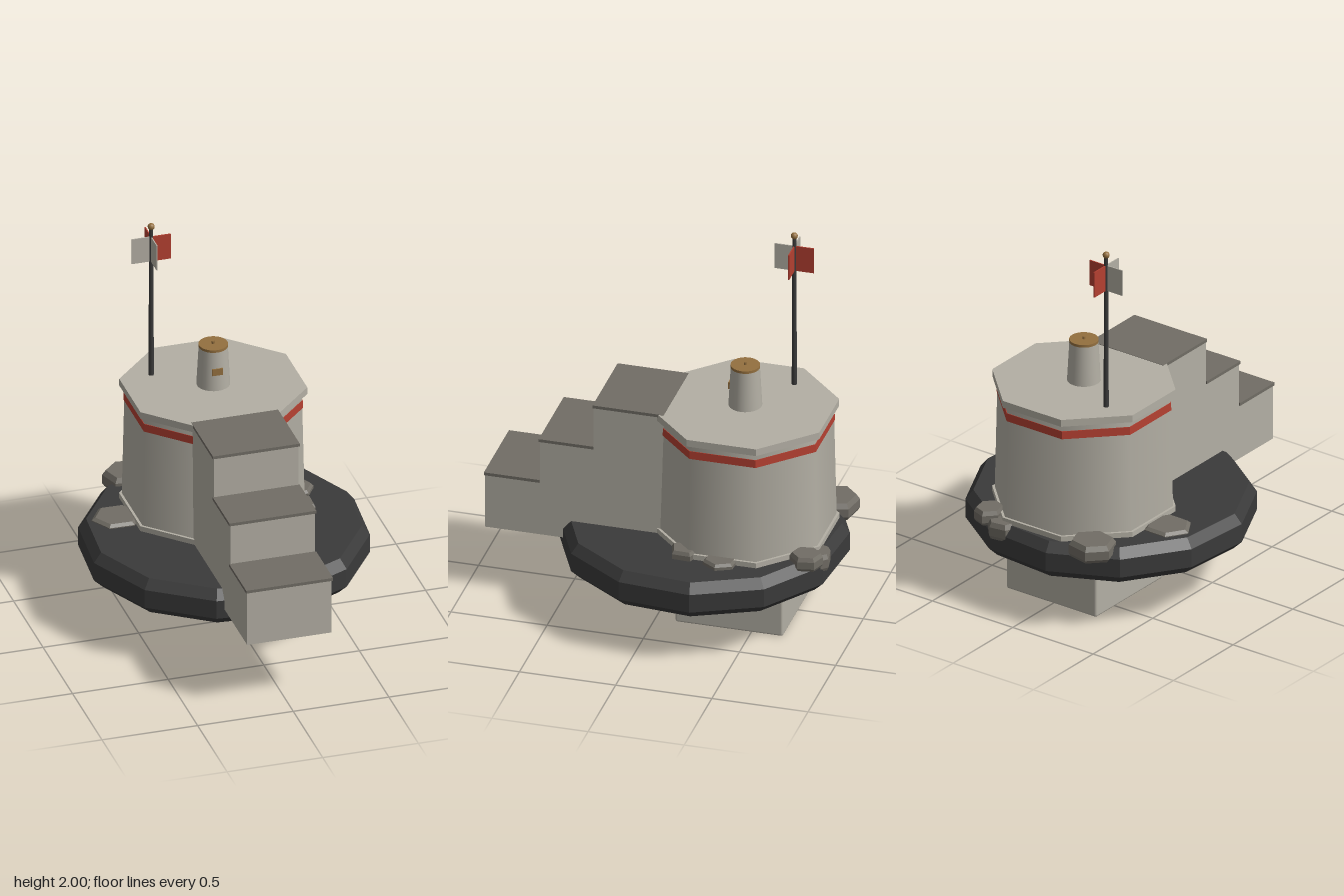
import * as THREE from 'three';
import { RoundedBoxGeometry } from 'three/addons/geometries/RoundedBoxGeometry.js';

export function createModel() {
  const model = new THREE.Group();
  const paint = (name, color) => {
    const m = new THREE.MeshStandardMaterial({ color });
    m.name = name;
    return m;
  };
  const stone = paint('paleStone', 0xb3afa4);
  const slate = paint('brownGreyStone', 0x716d65);
  const dark = paint('charcoal', 0x3a3a3a);
  const red = paint('red', 0xb44031);
  const bronze = paint('bronze', 0x94703f);

  const add = (name, geometry, material, x = 0, y = 0, z = 0, parent = model) => {
    const mesh = new THREE.Mesh(geometry, material);
    mesh.name = name;
    mesh.position.set(x, y, z);
    parent.add(mesh);
    return mesh;
  };
  // Faceted normals
  const facet = (g) => {
    const f = g.toNonIndexed();
    f.computeVertexNormals();
    return f;
  };
  // Box given by its limits
  const block = (name, mat, x0, x1, y0, y1, z0, z1, parent = model) =>
    add(name, new THREE.BoxGeometry(x1 - x0, y1 - y0, z1 - z0), mat,
      (x0 + x1) / 2, (y0 + y1) / 2, (z0 + z1) / 2, parent);
  // Faceted turned solid, profile listed from bottom to top
  const turned = (profile, sides, start) =>
    facet(new THREE.LatheGeometry(profile.map(([r, y]) => new THREE.Vector2(r, y)), sides, start));

  const CX = 0.01, CZ = -0.39;
  // Octagon prism with flats facing the axes, sized by its half width
  const octagon = (name, mat, top, bottom, y0, y1, smooth = false) => {
    const k = 1 / Math.cos(Math.PI / 8);
    const g = new THREE.CylinderGeometry(top * k, bottom * k, y1 - y0, 8, 1, false, Math.PI / 8);
    return add(name, smooth ? g : facet(g), mat, CX, (y0 + y1) / 2, CZ);
  };

  // Foundation block and twelve-sided bevelled platform
  add('foundation', new RoundedBoxGeometry(0.56, 0.3, 0.56, 2, 0.012), stone, CX, 0.15, CZ + 0.005);
  add('platform', turned([[0, 0.262], [0.68, 0.262], [0.73, 0.31], [0.73, 0.41], [0.69, 0.46], [0, 0.46]],
    12, THREE.MathUtils.degToRad(10)), dark, 0, 0, -0.175);

  // Tower
  octagon('towerPlinth', stone, 0.437, 0.437, 0.44, 0.488);
  octagon('towerWall', stone, 0.411, 0.425, 0.45, 1.11, true);
  octagon('towerStripe', red, 0.415, 0.416, 1.02, 1.063);
  octagon('towerRoof', stone, 0.436, 0.436, 1.1, 1.138);

  // Chimney with lid, knob and small window
  add('chimney', new THREE.CylinderGeometry(0.073, 0.085, 0.22, 24), stone, CX, 1.245, CZ);
  add('chimneyLid', new THREE.CylinderGeometry(0.074, 0.074, 0.014, 24), bronze, CX, 1.358, CZ);
  add('lidKnob', new THREE.CylinderGeometry(0.008, 0.008, 0.016, 8), bronze, CX, 1.371, CZ);
  block('chimneyWindow', bronze, -0.02, 0.035, 1.225, 1.262, -0.316, -0.307);

  // Staircase
  const stairs = new THREE.Group();
  stairs.name = 'stairs';
  model.add(stairs);
  [[0.615, 0.9, 0.66], [0.335, 0.615, 0.893], [-0.03, 0.335, 1.128]].forEach(([z0, z1, top]) => {
    block('stairStep', stone, -0.21, 0.232, 0.36, top, z0, z1, stairs);
    block('stairTread', slate, -0.216, 0.238, top - 0.004, top + 0.012, z0, z1 + 0.004, stairs);
  });

  // Flagpole with four crossed flags
  const px = -0.26, pz = -0.567;
  add('flagpole', new THREE.CylinderGeometry(0.01, 0.014, 0.86, 10), dark, px, 1.55, pz);
  add('poleBall', new THREE.SphereGeometry(0.018, 12, 8), bronze, px, 1.982, pz);
  const t = 0.003;
  [[-1, stone], [1, red]].forEach(([s, mat]) => {
    block('sideFlag', mat, px + Math.min(0, s * 0.102), px + Math.max(0, s * 0.102), 1.785, 1.925, pz - t, pz + t);
    block('crossFlag', mat, px - t, px + t, 1.785, 1.925, pz + Math.min(0, -s * 0.102), pz + Math.max(0, -s * 0.102));
  });

  // Rocks around the tower: x, z, half sizes, bottom, top, turn, sides
  [
    [-0.5, -0.375, 0.13, 0.12, 0.43, 0.478, 0.5, 6],
    [-0.325, -0.77, 0.125, 0.115, 0.41, 0.5, 0.3, 6],
    [0.2, -0.81, 0.09, 0.08, 0.38, 0.47, 0.7, 6],
    [0.3, -0.79, 0.075, 0.085, 0.43, 0.505, 0.2, 6],
    [0.445, -0.385, 0.085, 0.09, 0.44, 0.49, 0.45, 6],
    [0.41, -0.19, 0.075, 0.08, 0.44, 0.505, 0.9, 5],
  ].forEach(([x, z, rx, rz, y0, y1, turn, sides]) => {
    const g = turned([[0, 0], [0.9, 0], [1, 0.2], [1, 0.72], [0.85, 1], [0, 1]], sides, turn);
    g.scale(rx, y1 - y0, rz);
    g.computeVertexNormals();
    add('rock', g, slate, x, y0, z);
  });

  return model;
}
